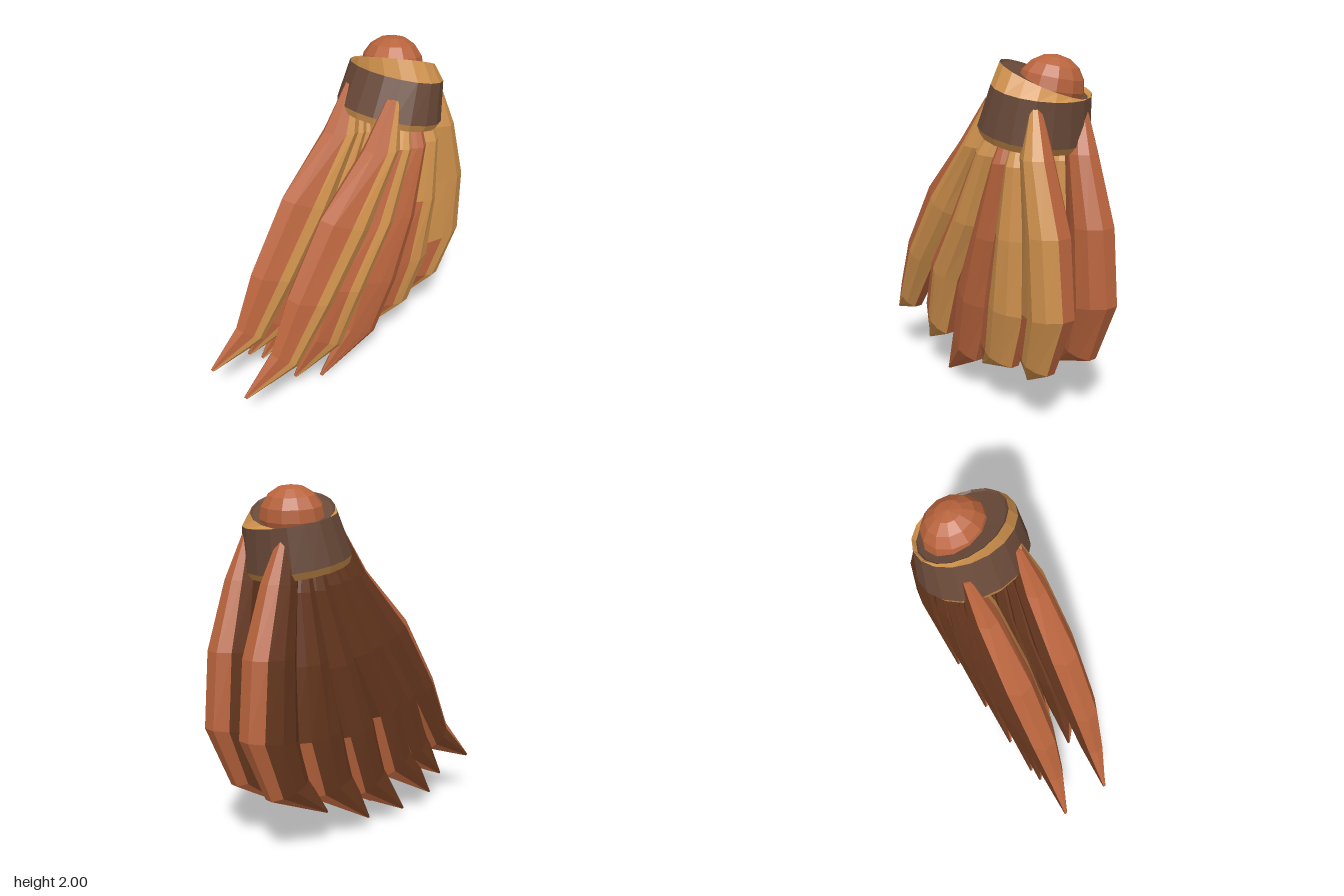
import * as THREE from 'three';

const V = (x, y, z) => new THREE.Vector3(x, y, z);
const paint = (name, color) => {
  const m = new THREE.MeshStandardMaterial({ color, flatShading: true });
  m.name = name;
  return m;
};

// Joins closed rings of points into a faceted skin; pick(row, side) gives the material index
function loft(rings, materials, pick, name) {
  const tris = materials.map(() => []);
  for (let r = 0; r < rings.length - 1; r++) {
    const a = rings[r], b = rings[r + 1], n = a.length;
    for (let i = 0; i < n; i++) {
      const j = (i + 1) % n, out = tris[pick(r, i)];
      if (!a[i].equals(a[j])) out.push(a[i], a[j], b[j]);
      if (!b[i].equals(b[j])) out.push(a[i], b[j], b[i]);
    }
  }
  const geo = new THREE.BufferGeometry().setFromPoints(tris.flat());
  let start = 0;
  tris.forEach((t, i) => {
    geo.addGroup(start, t.length, i);
    start += t.length;
  });
  geo.computeVertexNormals();
  const mesh = new THREE.Mesh(geo, materials);
  mesh.name = name;
  return mesh;
}

// Strand outlines: left x, left y, right x, right y from root to tip
const OUTER = [[.20, 1.77, .28, 1.75], [.02, 1.53, .24, 1.50], [-.30, 1.22, 0, 1.08],
  [-.56, .82, -.28, .72], [-.70, .50, -.54, .36], [-.88, .26, -.87, .245]];
const SECOND = [[.28, 1.66, .36, 1.66], [.16, 1.50, .34, 1.47], [-.06, 1.12, .20, 1.06],
  [-.30, .76, -.02, .68], [-.41, .44, -.18, .29], [-.50, .16, -.49, .145]];
const MIDDLE = [[.37, 1.64, .44, 1.64], [.30, 1.45, .46, 1.45], [.13, 1.05, .39, 1.02],
  [-.03, .66, .27, .60], [-.12, .33, .12, .22], [-.285, .015, -.275, 0]];
const FOURTH = [[.45, 1.64, .52, 1.64], [.41, 1.45, .57, 1.45], [.33, 1.08, .58, 1.06],
  [.21, .66, .57, .64], [.14, .36, .45, .30], [.07, .18, .08, .165]];
const INNER = [[.56, 1.73, .62, 1.75], [.52, 1.50, .72, 1.50], [.55, 1.12, .84, 1.13],
  [.54, .66, .88, .71], [.48, .42, .74, .36], [.48, .225, .49, .215]];

// Depth centre and half depth at each station, and the ridged cross-section
const DEPTH = [[.17, .035], [.19, .09], [.185, .12], [.18, .112], [.165, .075], [.10, .01]];
const SECTION = [[1, -.35], [1, .35], [.6, .82], [.12, 1], [-.28, .78], [-.88, .35],
  [-1, -.35], [-.6, -.8], [0, -1], [.6, -.8]];

const blend = (a, b, t) => a.map((row, i) => row.map((v, k) => v + (b[i][k] - v) * t));
const withTip = (s, x, y) => [...s.slice(0, 5), [x, y + .01, x + .01, y]];

// Material choices per strand: 0 rust, 1 tan, 2 dark rust
const coat = ({ tan = true, tanRows = 0, rustSide = -1 }) => (row, side) => {
  if (side === rustSide || (side === 9 && row > 3)) return 0;
  if (side > 5) return 2;
  if (tan && side > 0 && side < 4) return 1;
  return side === 4 && row <= tanRows ? 1 : 0;
};

function strand(outline, shift, materials, pick, name) {
  const rings = outline.map(([lx, ly, rx, ry], i) => {
    const [zc, zh] = DEPTH[i];
    return SECTION.map(([u, w]) => V(
      (lx + rx) / 2 + u * (rx - lx) / 2, (ly + ry) / 2 + u * (ry - ly) / 2, zc + shift + w * zh));
  });
  const cap = (ring) => {
    const c = V(0, 0, 0);
    ring.forEach((p) => c.addScaledVector(p, 1 / ring.length));
    return ring.map(() => c);
  };
  return loft([cap(rings[0]), ...rings, cap(rings[5])], materials, pick, name);
}

export function createModel() {
  const rust = paint('rust', 0xb9643d);
  const tan = paint('tan', 0xd0924d);
  const darkRust = paint('darkRust', 0x68381f);
  const brown = paint('darkBrown', 0x694938);
  const model = new THREE.Group();
  model.name = 'tasselBrush';

  // Two layers of strands with tan front faces and dark rear faces
  const layer = (name, shift, list) => {
    const group = new THREE.Group();
    group.name = `${name}Strands`;
    list.forEach(([outline, look], i) =>
      group.add(strand(outline, shift, [rust, tan, darkRust], coat(look), `${name}Strand${i + 1}`)));
    model.add(group);
  };
  layer('front', 0, [
    [OUTER, { rustSide: 6 }],
    [SECOND, { tanRows: 1 }],
    [MIDDLE, { tan: false }],
    [FOURTH, { tanRows: 2 }],
    [INNER, { tanRows: 3, rustSide: 9 }],
  ]);
  layer('back', -.31, [
    [OUTER, { rustSide: 6 }],
    [withTip(blend(OUTER, SECOND, .65), -.60, .19), {}],
    [withTip(blend(SECOND, MIDDLE, .15), -.50, .09), {}],
    [withTip(MIDDLE, -.25, .05), { tan: false }],
    [withTip(FOURTH, .05, .08), {}],
    [withTip(INNER, .38, .21), { tan: false, rustSide: 9 }],
  ]);

  // Leaning oval collar: tan lip, brown band, tan shoulder cut on a slant, brown top
  const SIDES = 18;
  const ring = (f) => Array.from({ length: SIDES }, (_, i) => {
    const a = (i / SIDES) * Math.PI * 2;
    return f(Math.cos(a), -Math.sin(a));
  });
  const band = (rx, rz, h) => ring((c, s) =>
    V(c * rx, h, s * rz).applyAxisAngle(V(0, 0, 1), -.24).add(V(.395, 1.60, 0)));
  const rim = (rx, rz, drop) => ring((c, s) => {
    const x = .443 + c * rx, z = -.02 + s * rz;
    return V(x, 2.05 - .394 * x + .24 * z - drop, z);
  });
  const rings = [band(0, 0, -.02), band(.262, .302, -.04), band(.28, .322, 0), band(.232, .29, .23),
    rim(.205, .25, 0), rim(.195, .24, .012), rim(0, 0, .02)];
  const rows = [0, 1, 0, 1, 0, 0];
  model.add(loft(rings, [brown, tan], (r) => rows[r], 'collar'));

  // Faceted knob set in the collar
  const knob = new THREE.Mesh(new THREE.SphereGeometry(1, 12, 8), rust);
  knob.name = 'knob';
  knob.scale.set(.17, .17, .187);
  knob.position.set(.465, 1.83, -.045);
  knob.rotation.set(-.12, 0, -.15);
  model.add(knob);
  return model;
}
